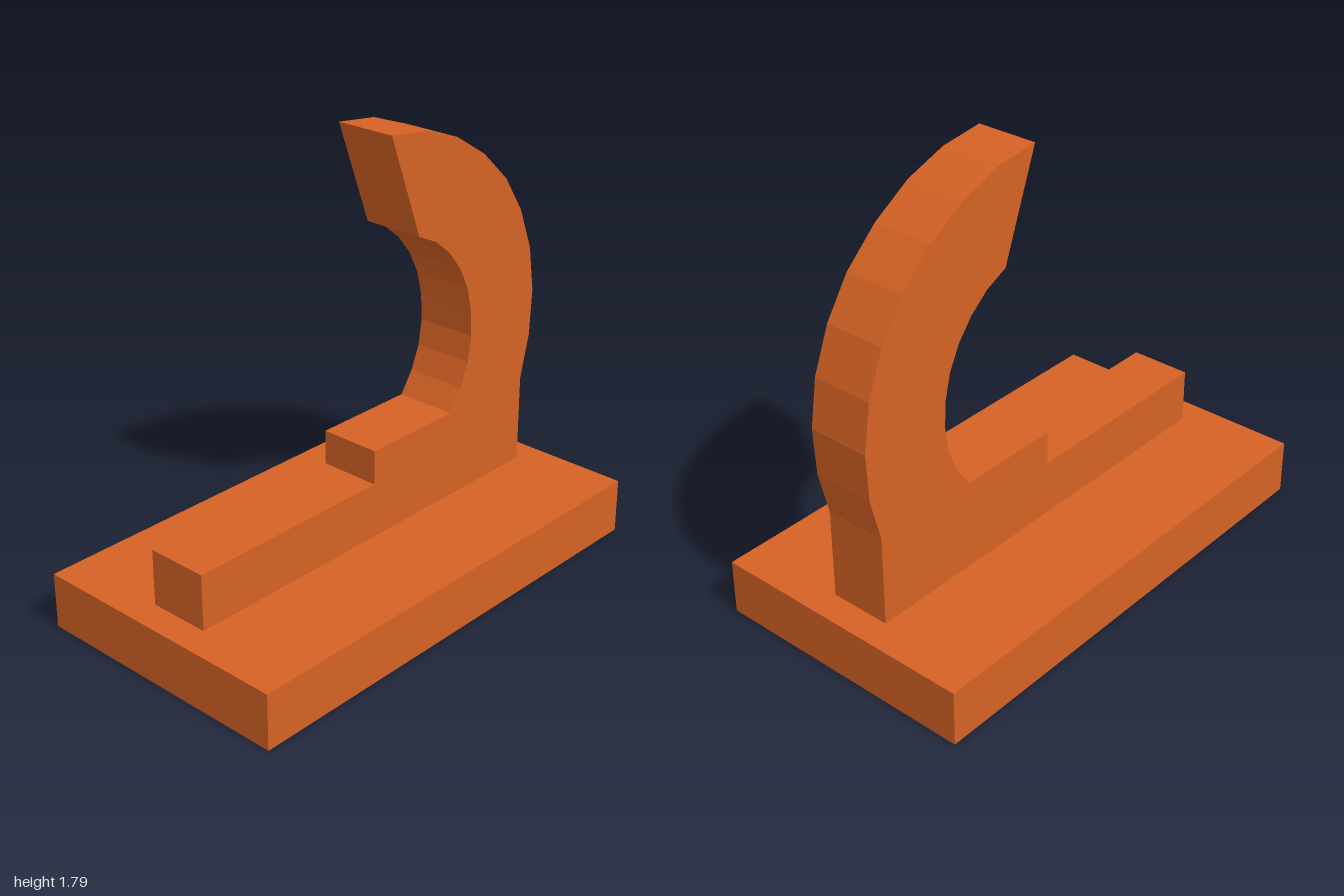
import * as THREE from 'three';

export function createModel() {
  const model = new THREE.Group();
  const orange = new THREE.MeshStandardMaterial({ color: 0xd56224 });
  orange.name = 'orange';
  orange.flatShading = true;

  const baseHeight = 0.225;
  const thickness = 0.252;

  // Rectangular foot plate
  const base = new THREE.Mesh(new THREE.BoxGeometry(2, baseHeight, 1.11), orange);
  base.name = 'basePlate';
  base.position.y = baseHeight / 2;
  model.add(base);

  // Upright profile: stepped rail rising into a faceted curved hook
  const outerArc = [
    [0.885, 0.59], [0.93, 0.77], [0.94, 0.96], [0.91, 1.15], [0.84, 1.325],
    [0.74, 1.475], [0.6, 1.605], [0.44, 1.705], [0.265, 1.767], [0.08, 1.79],
  ];
  const innerArc = [
    [0.235, 1.375], [0.33, 1.33], [0.41, 1.265], [0.477, 1.183], [0.525, 1.088],
    [0.55, 0.985], [0.556, 0.88], [0.54, 0.775], [0.5, 0.678], [0.44, 0.59],
  ];
  const rail = [[0, 0.59], [0, 0.45], [-0.885, 0.45], [-0.885, baseHeight], [0.885, baseHeight]];
  const profile = [...outerArc, ...innerArc, ...rail].map(([x, y]) => new THREE.Vector2(x, y));

  const geometry = new THREE.ExtrudeGeometry(new THREE.Shape(profile), {
    depth: thickness, bevelEnabled: false,
  });
  geometry.translate(0, 0, -thickness / 2);
  const hook = new THREE.Mesh(geometry, orange);
  hook.name = 'hookUpright';
  model.add(hook);

  return model;
}
